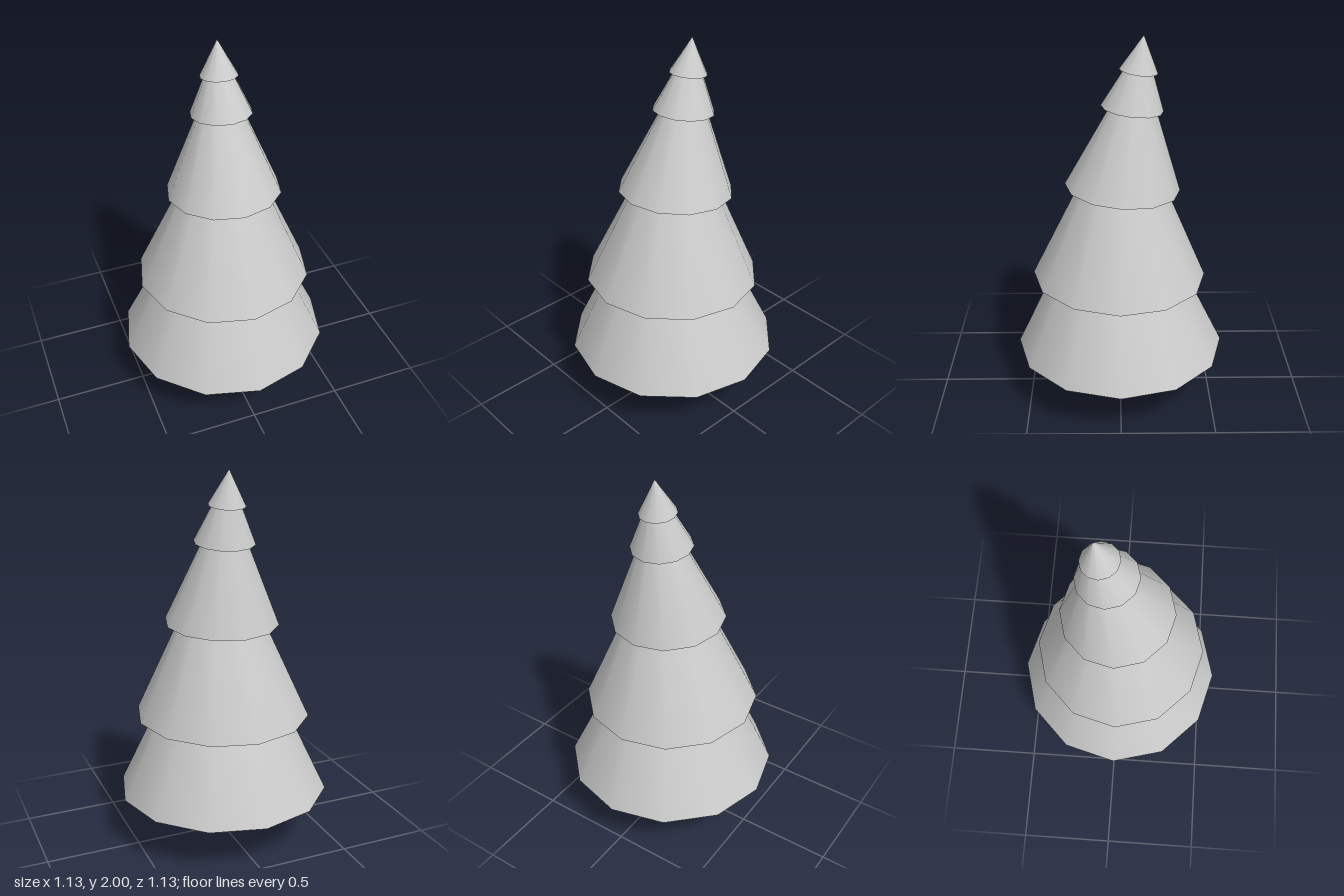
import * as THREE from 'three';

const SIDES = 12;
const smooth = new THREE.MeshStandardMaterial({ color: 0xcccccc });
const flat = new THREE.MeshStandardMaterial({ color: 0xcccccc, flatShading: true });

// Band between two tilted rings; slope is the rise in y per unit of z
function band(lower, upper) {
  const pos = [], index = [];
  for (const { x, y, z, r, slope } of [lower, upper]) {
    for (let i = 0; i < SIDES; i++) {
      const t = (i / SIDES) * Math.PI * 2;
      const dz = r * Math.cos(t);
      pos.push(x + r * Math.sin(t), y + slope * dz, z + dz);
    }
  }
  for (let i = 0; i < SIDES; i++) {
    const j = (i + 1) % SIDES;
    index.push(i, j, i + SIDES);
    if (upper.r > 0) index.push(j, j + SIDES, i + SIDES);
  }
  const geo = new THREE.BufferGeometry();
  geo.setAttribute('position', new THREE.Float32BufferAttribute(pos, 3));
  geo.setIndex(index);
  geo.computeVertexNormals();
  return geo;
}

function addMesh(parent, name, geo, mat) {
  const mesh = new THREE.Mesh(geo, mat);
  mesh.name = name;
  parent.add(mesh);
  return mesh;
}

const ring = (x, y, z, r, slope) => ({ x, y, z, r, slope });

export function createModel() {
  const tree = new THREE.Group();
  tree.name = 'firTree';

  // Trunk, rising into the hollow of the lowest tier
  const trunk = addMesh(tree, 'trunk', new THREE.CylinderGeometry(0.076, 0.096, 0.58, 8), flat);
  trunk.position.y = 0.29;
  trunk.rotation.y = THREE.MathUtils.degToRad(10);

  // Rim of each tier, and the neck where the one below meets its underside
  const rims = [
    ring(0, 0.27, 0, 0.567, 0),
    ring(0, 0.697, 0.005, 0.465, 0.02),
    ring(0.01, 1.208, -0.012, 0.3, 0.065),
    ring(0.015, 1.633, -0.06, 0.158, 0.11),
    ring(0.015, 1.822, -0.09, 0.096, 0.13),
  ];
  const necks = [
    ring(0, 0.55, 0, 0.07, 0),
    ring(0, 0.772, 0.003, 0.325, 0.02),
    ring(0.01, 1.26, -0.015, 0.204, 0.065),
    ring(0.015, 1.668, -0.07, 0.102, 0.11),
    ring(0.015, 1.84, -0.093, 0.065, 0.13),
    ring(0.015, 2, -0.115, 0, 0),
  ];

  // Tiers of branches: smooth cone outside, faceted hollow beneath
  rims.forEach((rim, i) => {
    const tier = new THREE.Group();
    tier.name = `branchTier${i + 1}`;
    addMesh(tier, 'branches', band(rim, necks[i + 1]), smooth);
    addMesh(tier, 'underside', band(necks[i], rim), flat);
    tree.add(tier);
  });
  return tree;
}
